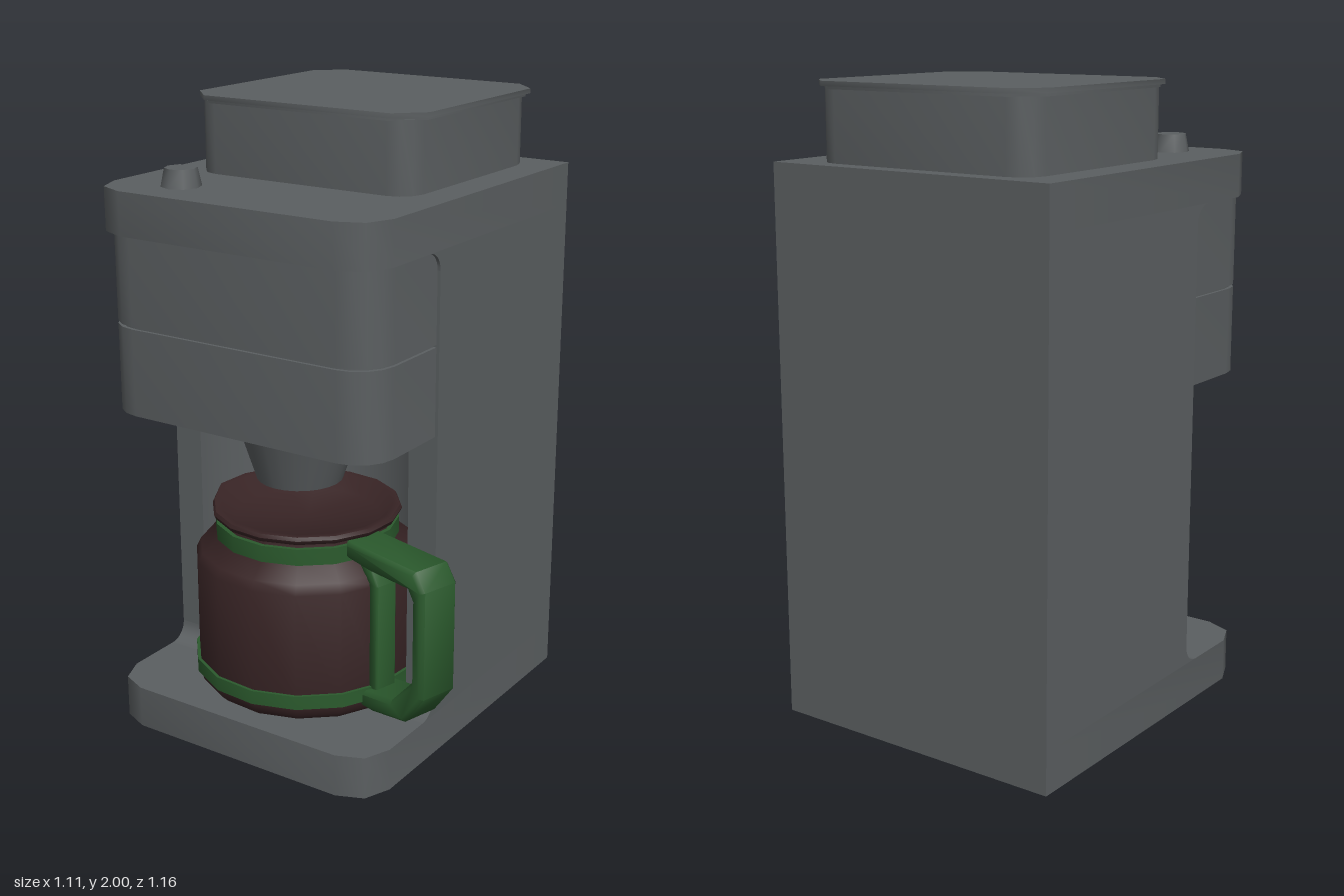
import * as THREE from 'three';
import { toCreasedNormals } from 'three/addons/utils/BufferGeometryUtils.js';

const material = (name, color) => {
  const m = new THREE.MeshStandardMaterial({ color });
  m.name = name;
  return m;
};

export function createModel() {
  const grey = material('grey plastic', 0x5b5f61);
  const glass = material('dark glass', 0x382425);
  const green = material('green trim', 0x2b5a2d);
  const CX = -0.06; // centre line of the machine
  const root = new THREE.Group();
  root.name = 'coffeeMachine';

  const add = (parent, name, geometry, mat, x = 0, y = 0, z = 0) => {
    const mesh = new THREE.Mesh(toCreasedNormals(geometry, 0.9), mat);
    mesh.name = name;
    mesh.position.set(x, y, z);
    parent.add(mesh);
    return mesh;
  };

  // Footprint with rounded front (and optionally back) corners; shape y is -z
  const footprint = (hw, zBack, zFront, r, steps, roundBack = false) => {
    const pts = [];
    const corner = (sx, z, dir, from) => {
      for (let i = 0; i <= steps; i++) {
        const a = from + (i / steps) * Math.PI / 2;
        pts.push(new THREE.Vector2(sx * (hw - r) + r * Math.cos(a), -z + dir * r + r * Math.sin(a)));
      }
    };
    corner(-1, zFront, 1, Math.PI);
    corner(1, zFront, 1, Math.PI * 1.5);
    if (roundBack) {
      corner(1, zBack, -1, 0);
      corner(-1, zBack, -1, Math.PI / 2);
    } else {
      pts.push(new THREE.Vector2(hw, -zBack), new THREE.Vector2(-hw, -zBack));
    }
    return new THREE.Shape(pts);
  };
  // Extrude a footprint upward from y0 to y1
  const slab = (name, shape, y0, y1, mat = grey) => {
    const g = new THREE.ExtrudeGeometry(shape, { depth: y1 - y0, bevelEnabled: false, curveSegments: 24 });
    g.rotateX(-Math.PI / 2);
    return add(root, name, g, mat, CX, y0, 0);
  };

  // Base and top deck
  slab('base', footprint(0.5, -0.58, 0.58, 0.12, 2), 0, 0.137);
  slab('topDeck', footprint(0.5, -0.58, 0.58, 0.12, 2), 1.625, 1.76);

  // Column with a half-round recess for the jug
  const column = new THREE.Shape();
  column.moveTo(-0.5, 0.58);
  column.lineTo(-0.5, -0.21);
  column.lineTo(-0.4, -0.21);
  column.absarc(0, -0.21, 0.4, Math.PI, 0, true);
  column.lineTo(0.5, -0.21);
  column.lineTo(0.5, 0.58);
  slab('column', column, 0.137, 1.625);

  // Fillets where the column meets the base and the deck
  const fillet = (name, x, width, y, up) => {
    const s = new THREE.Shape();
    const r = 0.06;
    s.moveTo(0, 0);
    s.lineTo(r, 0);
    s.absarc(r, up * r, r, -up * Math.PI / 2, up > 0 ? Math.PI : -Math.PI, up > 0);
    s.lineTo(0, 0);
    const g = new THREE.ExtrudeGeometry(s, { depth: width, bevelEnabled: false, curveSegments: 4 });
    g.rotateY(-Math.PI / 2); // profile x becomes +z, depth runs to -x
    add(root, name, g, grey, x + width, y, 0.21);
  };
  for (const x of [-0.56, 0.34]) {
    fillet('baseFillet', x, 0.1, 0.137, 1);
    fillet('deckFillet', x, 0.1, 1.625, -1);
  }

  // Brew head in two tiers with a thin groove between
  slab('brewHeadLower', footprint(0.49, -0.25, 0.555, 0.12, 4), 1.06, 1.336);
  slab('brewHeadGroove', footprint(0.48, -0.25, 0.545, 0.12, 4), 1.336, 1.344);
  slab('brewHeadUpper', footprint(0.49, -0.25, 0.555, 0.12, 4), 1.344, 1.625);

  // Drip cone
  add(root, 'dripCone', new THREE.CylinderGeometry(0.21, 0.137, 0.23, 24), grey, CX, 0.95, 0.21);

  // Water tank and lid
  slab('tank', footprint(0.39, -0.518, 0.206, 0.08, 3, true), 1.76, 1.98);
  slab('tankLidEdge', footprint(0.404, -0.534, 0.212, 0.08, 1, true), 1.976, 1.985);
  slab('tankLid', footprint(0.415, -0.545, 0.222, 0.08, 1, true), 1.985, 2.0);

  // Knob
  add(root, 'knob', new THREE.CylinderGeometry(0.05, 0.062, 0.056, 8), grey, -0.335, 1.788, 0.415);

  // Jug, turned so its handle points slightly forward
  const jug = new THREE.Group();
  jug.name = 'jug';
  jug.position.set(CX, 0, 0.175);
  jug.rotation.y = -0.275;
  root.add(jug);
  const lathe = (points) =>
    new THREE.LatheGeometry(points.map(([r, y]) => new THREE.Vector2(r, y)), 16);

  const jugGeometry = lathe([
    [0, 0.138], [0.33, 0.138], [0.352, 0.16], [0.36, 0.19], [0.36, 0.57], [0.345, 0.6],
    [0.285, 0.65], [0.28, 0.705], [0.298, 0.712], [0.304, 0.725], [0.298, 0.736],
    [0.275, 0.736], [0.235, 0.69], [0, 0.69],
  ]);
  // Pull the rim out into a pouring lip opposite the handle
  const p = jugGeometry.attributes.position;
  for (let i = 0; i < p.count; i++) {
    const r = Math.hypot(p.getX(i), p.getZ(i));
    if (p.getY(i) > 0.706 && p.getX(i) < -0.8 * r) p.setX(i, p.getX(i) - 0.03);
  }
  add(jug, 'jugBody', jugGeometry, glass);

  const band = (name, r, y0, y1) =>
    add(jug, name, lathe([[r - 0.03, y0], [r, y0], [r, y1], [r - 0.03, y1]]), green);
  band('lowerBand', 0.37, 0.19, 0.235);
  band('neckBand', 0.295, 0.64, 0.695);

  // Handle loop and the strut along the jug wall
  const plate = (name, points, width, bevel) => {
    const shape = new THREE.Shape(points.map(([x, y]) => new THREE.Vector2(x, y)));
    const g = new THREE.ExtrudeGeometry(shape, {
      depth: width - 2 * bevel, bevelEnabled: true, bevelSegments: 1,
      bevelSize: bevel, bevelThickness: bevel, bevelOffset: -bevel,
    });
    g.translate(0, 0, bevel - width / 2);
    add(jug, name, g, green);
  };
  plate('handle', [
    [0.27, 0.705], [0.27, 0.65], [0.38, 0.64], [0.55, 0.64], [0.57, 0.61], [0.57, 0.34],
    [0.48, 0.245], [0.34, 0.225], [0.34, 0.17], [0.39, 0.17], [0.54, 0.195], [0.62, 0.3],
    [0.62, 0.65], [0.58, 0.705],
  ], 0.145, 0.012);
  plate('handleStrut', [
    [0.345, 0.2], [0.385, 0.2], [0.385, 0.58], [0.34, 0.66], [0.28, 0.66], [0.345, 0.58],
  ], 0.08, 0.005);

  return root;
}
